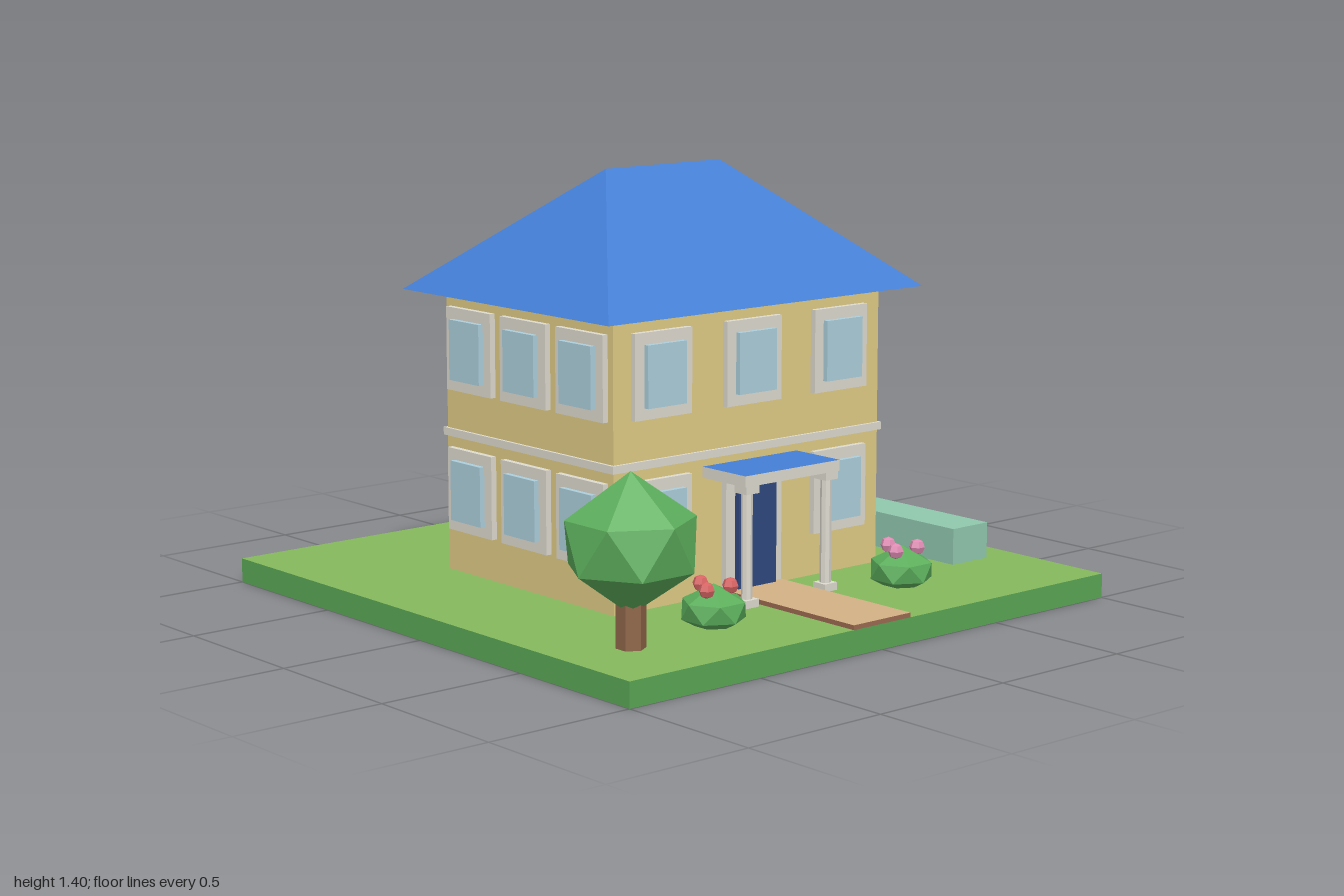
import * as THREE from 'three';

const mat = (color) => new THREE.MeshStandardMaterial({ color, flatShading: true });
const M = {
  wall: mat(0xe0cc85), trim: mat(0xdedad0), glass: mat(0xadcfdc), roof: mat(0x457fd6),
  door: mat(0x30487f), lawn: mat(0x86b85e), soil: mat(0x5aa655), path: mat(0xd3b285),
  pathEdge: mat(0x9c6a50), bark: mat(0x8f6548), leaf: mat(0x5cae5c), hedge: mat(0x90c8ae),
  red: mat(0xd96464), pink: mat(0xe08cb4),
};

function add(parent, name, geometry, material, x = 0, y = 0, z = 0) {
  const mesh = new THREE.Mesh(geometry, material);
  mesh.name = name;
  mesh.position.set(x, y, z);
  parent.add(mesh);
  return mesh;
}

// Box given by its min and max on each axis; an optional second material covers the top
function box(parent, name, [x0, x1], [y0, y1], [z0, z1], material, top) {
  const g = new THREE.BoxGeometry(x1 - x0, y1 - y0, z1 - z0);
  const m = top ? [material, material, top, material, material, material] : material;
  return add(parent, name, g, m, (x0 + x1) / 2, (y0 + y1) / 2, (z0 + z1) / 2);
}

function meshFrom(points, faces) {
  const g = new THREE.BufferGeometry();
  g.setAttribute('position', new THREE.Float32BufferAttribute(points.flat(), 3));
  g.setIndex(faces.flat());
  const flat = g.toNonIndexed();
  flat.computeVertexNormals();
  return flat;
}

// Faceted foliage ball: two staggered rings between a top and a bottom point
function foliage(radius, half, phase) {
  const n = 6, points = [[0, half, 0], [0, -half, 0]], faces = [];
  for (let i = 0; i < n; i++) {
    for (const s of [0, 1]) {
      const a = phase + ((i + s / 2) / n) * Math.PI * 2;
      points.push([Math.sin(a) * radius, (s ? -0.35 : 0.35) * half, Math.cos(a) * radius]);
    }
  }
  for (let i = 0; i < n; i++) {
    const u = 2 + 2 * i, l = u + 1, u2 = 2 + 2 * ((i + 1) % n), l2 = u2 + 1;
    faces.push([0, u, u2], [u, l, u2], [l, l2, u2], [1, l2, l]);
  }
  return meshFrom(points, faces);
}

function hipRoof() {
  const x = 0.66, r = 0.24, y = 1.0, t = 1.4, f = 0.5, b = -0.54, m = -0.02;
  const points = [[-x, y, f], [x, y, f], [x, y, b], [-x, y, b], [-r, t, m], [r, t, m]];
  return meshFrom(points, [
    [0, 1, 5], [0, 5, 4], [1, 2, 5], [2, 3, 4], [2, 4, 5], [3, 0, 4], [0, 3, 2], [0, 2, 1],
  ]);
}

// Window facing +z, with the wall plane at z = 0
function makeWindow() {
  const w = new THREE.Group();
  w.name = 'window';
  box(w, 'windowFrame', [-0.115, 0.115], [-0.135, 0.135], [-0.01, 0.02], M.trim);
  box(w, 'windowPane', [-0.078, 0.078], [-0.098, 0.098], [0, 0.038], M.glass);
  return w;
}

function makeBush(x, flowerMat) {
  const bush = new THREE.Group();
  bush.name = 'flowerBush';
  bush.position.set(x, 0.13, 0.68);
  add(bush, 'bushLeaves', foliage(0.1, 0.08, Math.PI / 6), M.leaf);
  for (const [fx, fz] of [[0, -0.06], [-0.048, 0.022], [0.048, 0.022]])
    add(bush, 'flower', new THREE.SphereGeometry(0.026, 6, 4), flowerMat, fx, 0.07, fz);
  return bush;
}

export function createModel() {
  const model = new THREE.Group();
  model.name = 'houseWithGarden';

  // Ground and path
  box(model, 'ground', [-1, 1], [0, 0.08], [-1, 1], M.soil, M.lawn);
  box(model, 'path', [-0.12, 0.12], [0.07, 0.095], [0.4, 1], M.pathEdge, M.path);

  // House
  const house = new THREE.Group();
  house.name = 'house';
  model.add(house);
  box(house, 'walls', [-0.56, 0.56], [0.08, 1.0], [-0.44, 0.4], M.wall);
  box(house, 'beltCourse', [-0.57, 0.57], [0.525, 0.55], [-0.45, 0.41], M.trim);
  add(house, 'roof', hipRoof(), M.roof);

  // Three windows per floor on each side; the door takes the front centre
  const sides = [
    { turn: 0, out: 0.42, step: 0.375 },
    { turn: Math.PI / 2, out: 0.56, step: 0.28 },
    { turn: Math.PI, out: 0.42, step: 0.375 },
    { turn: -Math.PI / 2, out: 0.56, step: 0.28 },
  ];
  for (const { turn, out, step } of sides) {
    const side = new THREE.Group();
    side.name = 'windowWall';
    side.position.z = -0.02;
    side.rotation.y = turn;
    house.add(side);
    for (const y of [0.355, 0.815])
      for (const i of [-1, 0, 1]) {
        if (turn === 0 && i === 0 && y < 0.5) continue;
        const w = makeWindow();
        w.position.set(i * step, y, out);
        side.add(w);
      }
  }

  // Door
  box(house, 'doorFrame', [-0.118, 0.118], [0.08, 0.465], [0.39, 0.42], M.trim);
  box(house, 'door', [-0.08, 0.08], [0.085, 0.42], [0.4, 0.438], M.door);

  // Porch
  const porch = new THREE.Group();
  porch.name = 'porch';
  house.add(porch);
  box(porch, 'porchRoof', [-0.2, 0.2], [0.465, 0.5], [0.39, 0.6], M.trim, M.roof);
  for (const x of [-0.168, 0.168]) {
    add(porch, 'column', new THREE.CylinderGeometry(0.018, 0.018, 0.36, 8), M.trim, x, 0.26, 0.572);
    box(porch, 'columnBase', [x - 0.027, x + 0.027], [0.08, 0.105], [0.545, 0.599], M.trim);
    box(porch, 'columnCap', [x - 0.027, x + 0.027], [0.44, 0.465], [0.545, 0.599], M.trim);
  }

  // Garden
  box(model, 'hedge', [0.72, 0.88], [0.07, 0.2], [-0.6, 0.6], M.hedge);
  const tree = new THREE.Group();
  tree.name = 'tree';
  tree.position.set(-0.76, 0, 0.72);
  model.add(tree);
  add(tree, 'trunk', new THREE.CylinderGeometry(0.046, 0.046, 0.3, 6), M.bark, 0, 0.15, 0);
  add(tree, 'crown', foliage(0.197, 0.215, 0), M.leaf, 0, 0.395, 0);
  model.add(makeBush(-0.4, M.red), makeBush(0.4, M.pink));

  return model;
}
